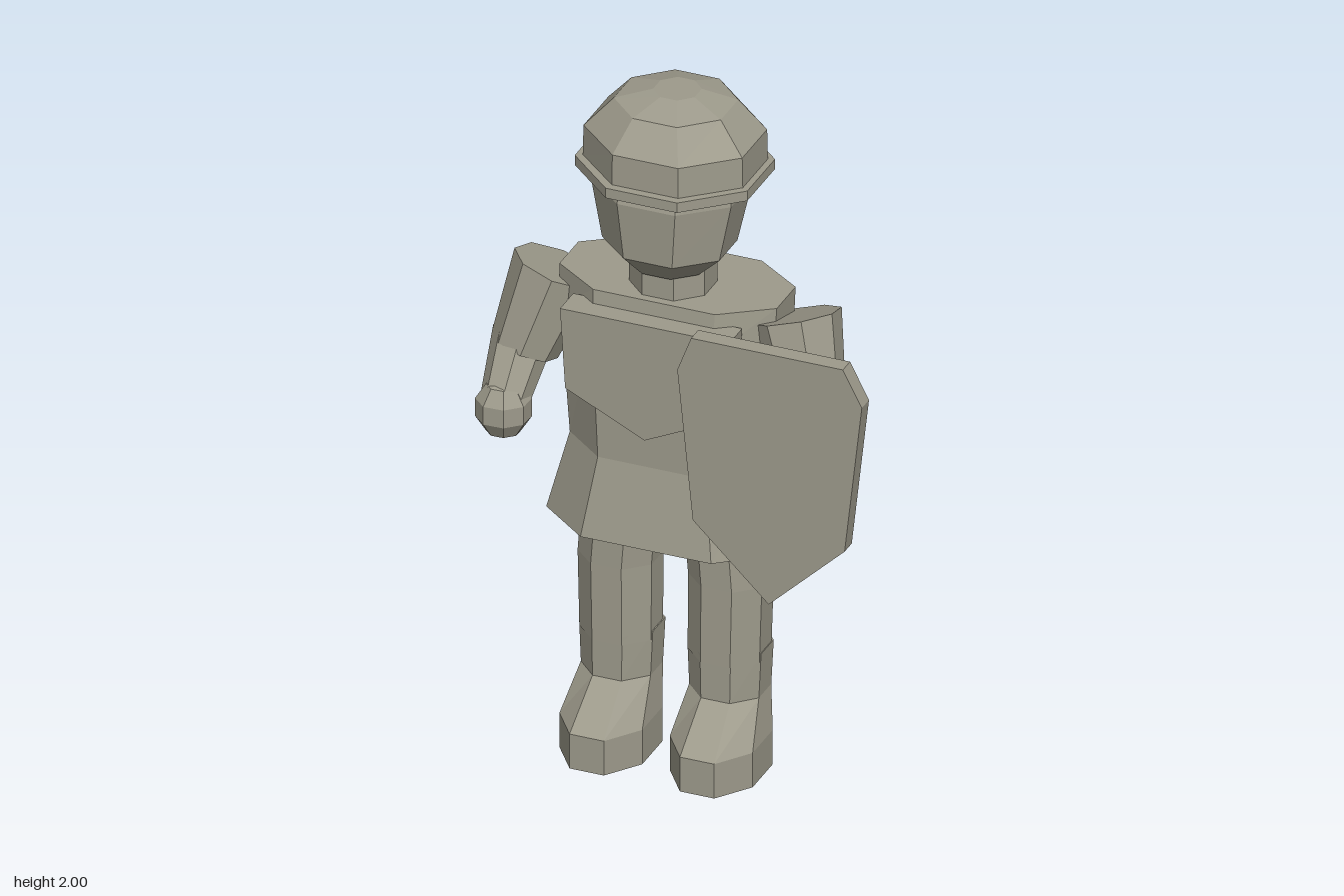
import * as THREE from 'three';

const MID = -0.1; // x of the body's own centre line

export function createModel() {
  const model = new THREE.Group();
  model.name = 'shieldBearer';
  const clay = new THREE.MeshStandardMaterial({ color: 0x9e9b8c, flatShading: true });
  clay.name = 'clay grey';

  function add(name, geometry) {
    const mesh = new THREE.Mesh(geometry, clay);
    mesh.name = name;
    model.add(mesh);
    return mesh;
  }

  // Stack of eight-sided rings, bottom to top: [x, y, z, halfWidth, halfDepth]
  function loft(name, rings, fx = 0.414, fz = 0.414) {
    const corners = [[1, -fz], [1, fz], [fx, 1], [-fx, 1], [-1, fz], [-1, -fz], [-fx, -1], [fx, -1]];
    const pos = [];
    const index = [];
    for (const [x, y, z, w, d] of rings) {
      for (const [u, v] of corners) pos.push(x + u * w, y, z + v * d);
    }
    const top = (rings.length - 1) * 8;
    for (let r = 0; r < top; r += 8) {
      for (let i = 0; i < 8; i++) {
        const a = r + i, b = r + (i + 1) % 8;
        index.push(a, a + 8, b, b, a + 8, b + 8);
      }
    }
    for (let i = 1; i < 7; i++) {
      index.push(0, i, i + 1, top, top + i + 1, top + i);
    }
    const g = new THREE.BufferGeometry();
    g.setAttribute('position', new THREE.Float32BufferAttribute(pos, 3));
    g.setIndex(index);
    const flat = g.toNonIndexed();
    flat.computeVertexNormals();
    return add(name, flat);
  }

  // Faceted limb section running between two points
  function limb(name, from, to, r0, r1) {
    const a = new THREE.Vector3(...from), b = new THREE.Vector3(...to);
    const dir = b.clone().sub(a);
    const g = new THREE.CylinderGeometry(r1, r0, dir.length(), 8);
    g.rotateY(Math.PI / 8);
    const mesh = add(name, g);
    mesh.position.copy(a).add(b).multiplyScalar(0.5);
    mesh.quaternion.setFromUnitVectors(new THREE.Vector3(0, 1, 0), dir.normalize());
    return mesh;
  }

  // Flat plate cut from an outline
  function plate(name, outline, z, depth) {
    const shape = new THREE.Shape(outline.map(([x, y]) => new THREE.Vector2(x, y)));
    const g = new THREE.ExtrudeGeometry(shape, { depth, bevelEnabled: false });
    g.translate(0, 0, z);
    return add(name, g);
  }

  // Tunic with flared hem
  loft('tunic', [
    [MID, 0.70, -0.073, 0.338, 0.195],
    [MID, 0.93, -0.085, 0.28, 0.165],
    [MID, 1.31, -0.09, 0.31, 0.17],
    [MID, 1.43, -0.095, 0.315, 0.16],
  ], 0.56, 0.4);

  // Pointed breastplate
  plate('breastplate', [
    [-0.345, 1.39], [-0.33, 1.15], [MID, 1.04], [0.13, 1.15], [0.145, 1.39],
  ], 0.04, 0.09);

  // Neck, head and the swell at the back of the skull
  loft('neck', [[MID, 1.40, -0.065, 0.11, 0.105], [MID, 1.55, -0.065, 0.11, 0.105]]);
  loft('head', [
    [MID, 1.50, -0.04, 0.10, 0.09],
    [MID, 1.57, -0.042, 0.17, 0.15],
    [MID, 1.74, -0.055, 0.203, 0.175],
    [MID, 1.79, -0.055, 0.20, 0.16],
  ]);
  loft('skullBack', [
    [MID, 1.57, -0.13, 0.13, 0.06],
    [MID, 1.73, -0.16, 0.17, 0.075],
  ]);

  // Helmet brim and dome
  loft('helmetBrim', [[MID, 1.77, -0.077, 0.25, 0.228], [MID, 1.80, -0.077, 0.25, 0.228]]);
  loft('helmetDome', [
    [MID, 1.80, -0.08, 0.232, 0.207],
    [MID, 1.89, -0.08, 0.23, 0.205],
    [MID, 1.975, -0.085, 0.155, 0.145],
    [MID, 2.00, -0.095, 0.06, 0.06],
  ]);

  // Legs and boots, mirrored about the body's centre line
  for (const [side, s] of [['right', -1], ['left', 1]]) {
    const at = (dx) => MID + s * dx;
    loft(side + 'Leg', [
      [at(0.157), 0.33, -0.08, 0.104, 0.098],
      [at(0.16), 0.56, -0.083, 0.107, 0.1],
      [at(0.145), 0.76, -0.083, 0.107, 0.1],
    ]);
    loft(side + 'Boot', [
      [at(0.16), 0, -0.017, 0.12, 0.165],
      [at(0.16), 0.105, -0.017, 0.12, 0.165],
      [at(0.157), 0.22, -0.085, 0.101, 0.102],
      [at(0.157), 0.355, -0.087, 0.107, 0.104],
    ]);
    limb(side + 'UpperArm', [at(0.345), 1.385, -0.09], [at(0.415), 1.16, -0.03], 0.125, 0.095);
  }

  // Forearms and fists: left raised to the shield, right hanging forward
  limb('leftForearm', [0.325, 1.15, -0.06], [0.335, 1.165, 0.16], 0.082, 0.066);
  limb('rightForearm', [-0.522, 1.19, -0.04], [-0.53, 1.04, 0.075], 0.085, 0.066);
  for (const [name, p] of [['leftFist', [0.335, 1.155, 0.197]], ['rightFist', [-0.53, 1.022, 0.08]]]) {
    const fist = add(name, new THREE.SphereGeometry(1, 8, 5));
    fist.scale.set(0.08, 0.088, 0.072);
    fist.rotation.y = Math.PI / 8;
    fist.position.set(...p);
  }

  // Shield
  plate('shield', [
    [0.11, 1.49], [0.07, 1.385], [0.115, 0.935], [0.335, 0.725],
    [0.555, 0.935], [0.605, 1.385], [0.55, 1.49],
  ], 0.257, 0.049);

  return model;
}
